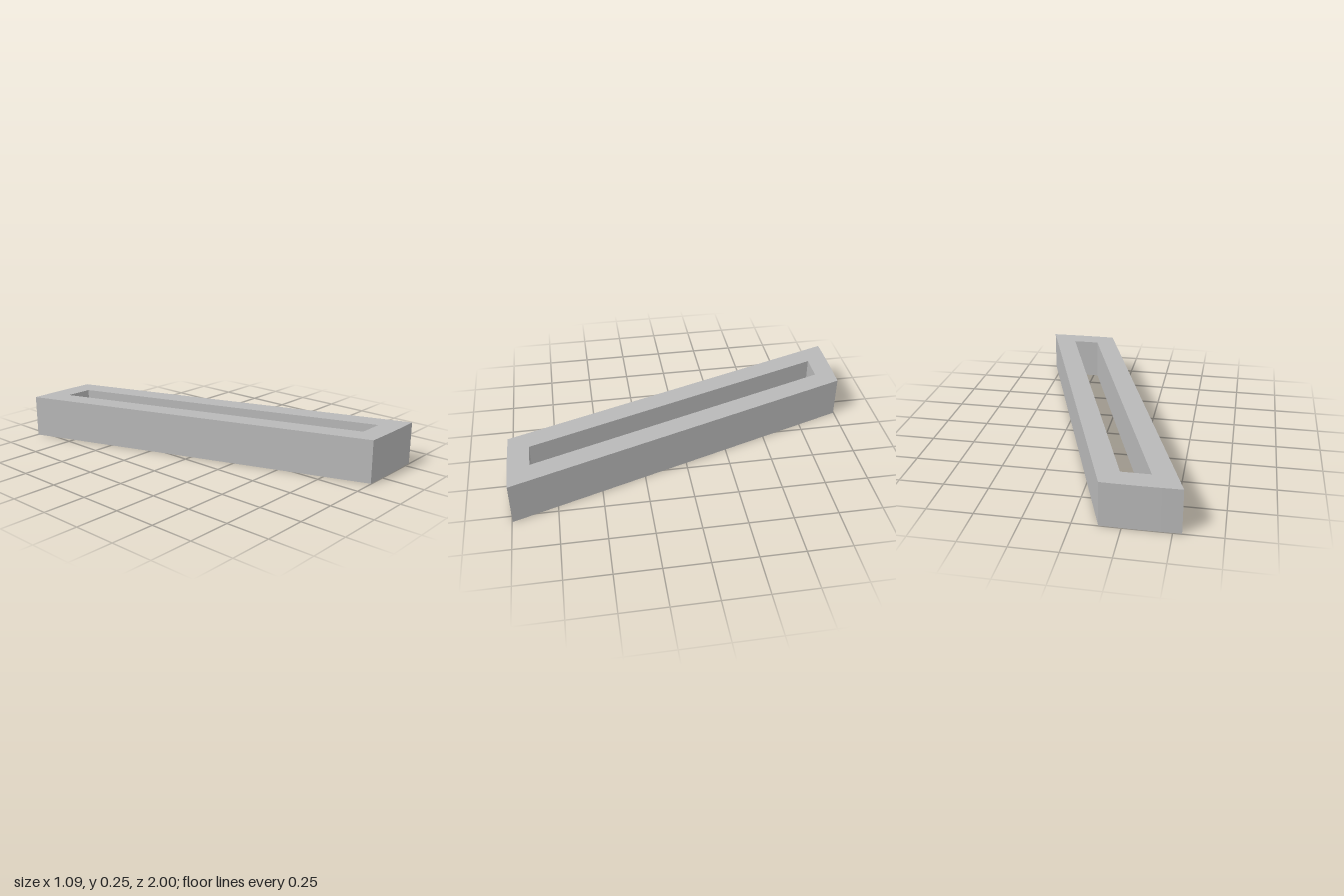
import * as THREE from 'three';

const HEIGHT = 0.245;
const SKEW = 0.342; // sideways shift per unit of length

// Traces a slanted four-sided outline; bow slightly rounds out its two ends.
function trace(path, halfWidth, halfLength, bow) {
  const end = halfLength - bow;
  const shift = SKEW * end;
  path.moveTo(shift - halfWidth, -end);
  path.quadraticCurveTo(shift, -halfLength - bow, shift + halfWidth, -end);
  path.lineTo(-shift + halfWidth, end);
  path.quadraticCurveTo(-shift, halfLength + bow, -shift - halfWidth, end);
  path.closePath();
  return path;
}

export function createModel() {
  const group = new THREE.Group();
  group.name = 'slantedFrame';

  const grey = new THREE.MeshStandardMaterial({ color: 0xb8b8b8 });
  grey.name = 'grey';

  // Slanted bar with a through slot, extruded upward
  const outline = trace(new THREE.Shape(), 0.205, 1, 0.003);
  outline.holes.push(trace(new THREE.Path(), 0.078, 0.88, 0));
  const geometry = new THREE.ExtrudeGeometry(outline, {
    depth: HEIGHT,
    bevelEnabled: false,
    curveSegments: 8,
  });
  geometry.rotateX(-Math.PI / 2);

  const frame = new THREE.Mesh(geometry, grey);
  frame.name = 'slottedFrame';
  group.add(frame);
  return group;
}
